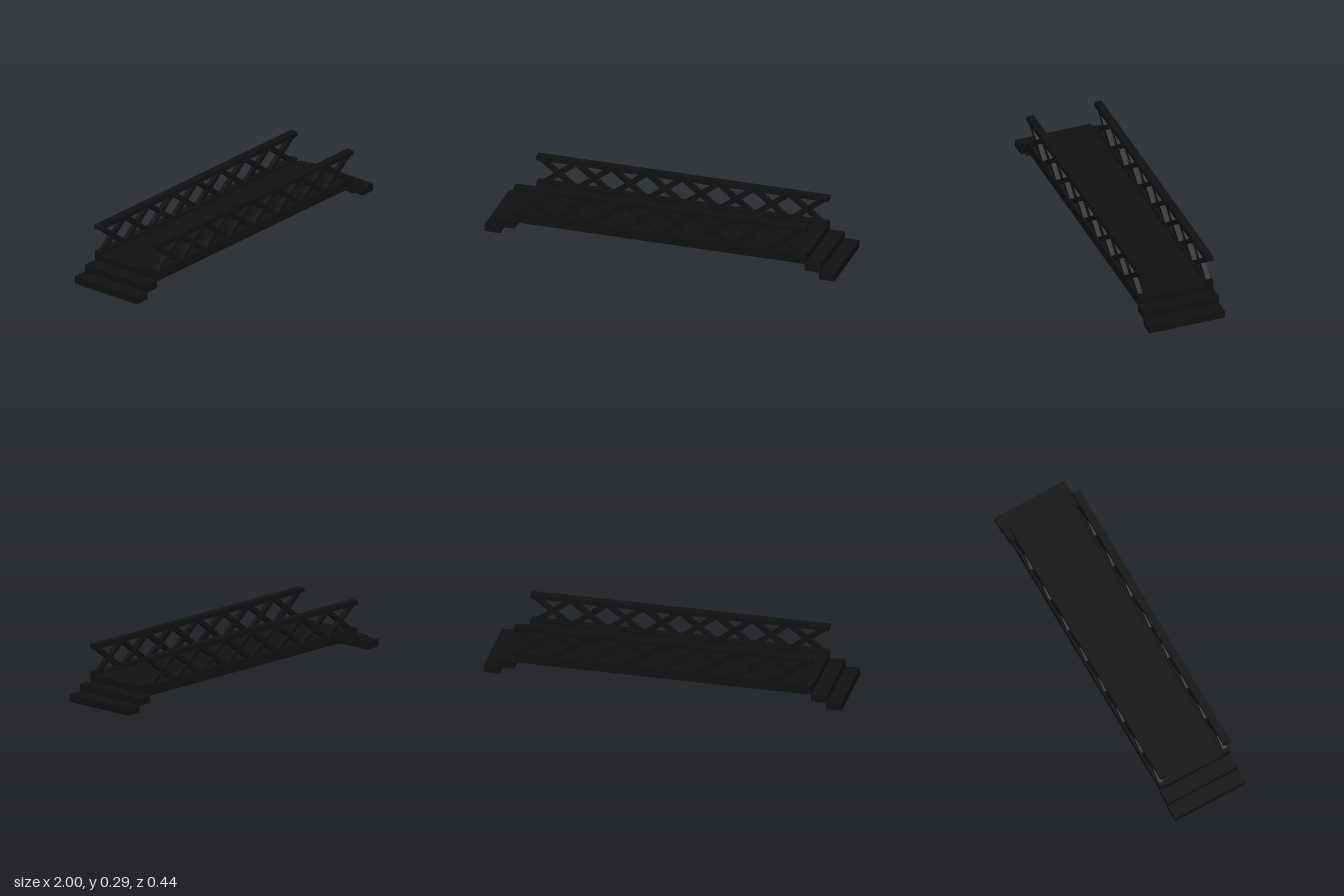
import * as THREE from 'three';

export function createModel() {
  const bridge = new THREE.Group();
  bridge.name = 'footbridge';
  const mat = new THREE.MeshStandardMaterial({ color: 0x111111 });

  // Box given by its lower and upper corners
  function box(name, parent, x0, x1, y0, y1, z0, z1) {
    const mesh = new THREE.Mesh(new THREE.BoxGeometry(x1 - x0, y1 - y0, z1 - z0), mat);
    mesh.position.set((x0 + x1) / 2, (y0 + y1) / 2, (z0 + z1) / 2);
    mesh.name = name;
    parent.add(mesh);
    return mesh;
  }

  const halfWidth = 0.22, halfDeck = 0.832;

  // Walkway
  box('deck', bridge, -halfDeck, halfDeck, 0.08, 0.122, -halfWidth, halfWidth);

  // Two steps at each end
  for (const s of [-1, 1]) {
    const step = (name, a, b, y0, y1) =>
      box(name, bridge, Math.min(s * a, s * b), Math.max(s * a, s * b), y0, y1, -halfWidth, halfWidth);
    step('lowerStep', 0.912, 1, 0, 0.043);
    step('upperStep', 0.83, 0.917, 0.04, 0.083);
  }

  // Lattice railings along both sides
  const bays = 8, halfLattice = 0.812, bay = (2 * halfLattice) / bays;
  const yLow = 0.12, yHigh = 0.275, thick = 0.026;
  const braceLength = Math.hypot(bay, yHigh - yLow);
  const braceAngle = Math.atan2(yHigh - yLow, bay);
  const braceGeo = new THREE.BoxGeometry(braceLength, thick, thick);

  for (const s of [-1, 1]) {
    const railing = new THREE.Group();
    railing.name = s > 0 ? 'frontRailing' : 'backRailing';
    railing.position.z = s * 0.1985;
    box('kerb', railing, -halfDeck, halfDeck, 0.115, 0.139, -0.0215, 0.0215);
    box('handrail', railing, -0.834, 0.834, 0.268, 0.294, -0.0215, 0.0215);

    // Crossed braces, one pair per bay
    for (let i = 0; i < bays; i++) {
      for (const tilt of [-1, 1]) {
        const brace = new THREE.Mesh(braceGeo, mat);
        brace.name = 'brace';
        brace.position.set(-halfLattice + (i + 0.5) * bay, (yLow + yHigh) / 2, 0);
        brace.rotation.z = tilt * braceAngle;
        railing.add(brace);
      }
    }
    bridge.add(railing);
  }
  return bridge;
}
